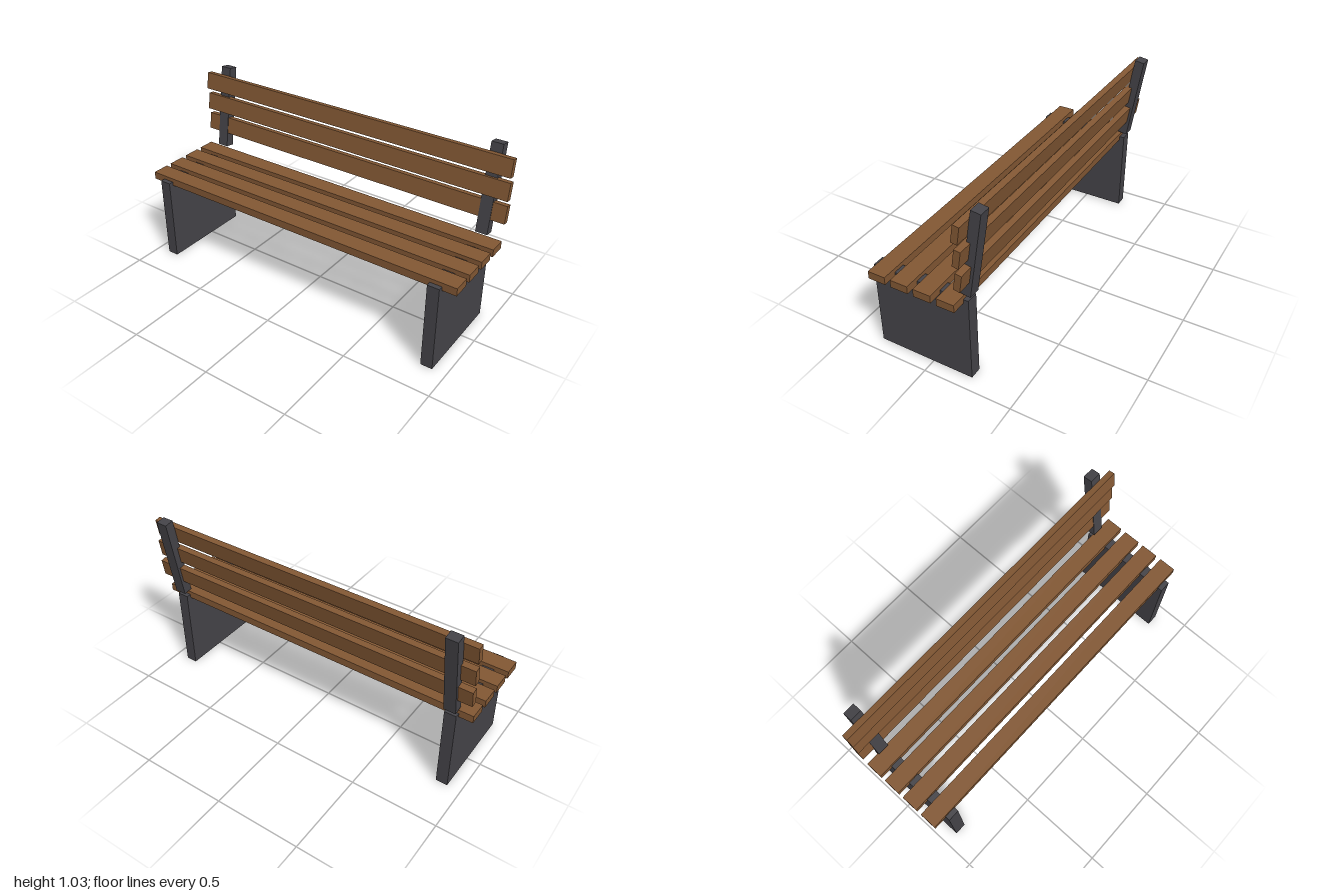
import * as THREE from 'three';

export function createModel() {
  const bench = new THREE.Group();
  bench.name = 'bench';

  const wood = new THREE.MeshStandardMaterial({ color: 0x835834 });
  wood.name = 'brown wood';
  const iron = new THREE.MeshStandardMaterial({ color: 0x454449 });
  iron.name = 'dark iron';

  const lean = -0.15; // backrest tilt in radians

  function addBox(name, material, size, position, tilt = 0) {
    const mesh = new THREE.Mesh(new THREE.BoxGeometry(...size), material);
    mesh.name = name;
    mesh.position.set(...position);
    mesh.rotation.x = tilt;
    bench.add(mesh);
  }

  // Slab legs and leaning back posts, one pair per side
  for (const [side, s] of [['left', 1], ['right', -1]]) {
    addBox(side + 'Leg', iron, [0.067, 0.5, 0.556], [s * 0.888, 0.25, 0.045]);
    addBox(side + 'BackPost', iron, [0.067, 0.5, 0.055], [s * 0.888, 0.779, -0.256], lean);
  }

  // Four seat slats, front to back
  for (let i = 0; i < 4; i++) {
    addBox('seatSlat' + (i + 1), wood, [2, 0.044, 0.1], [0, 0.5, 0.245 - i * 0.1333]);
  }

  // Three backrest slats, stacked vertically and tilted with the posts
  for (let i = 0; i < 3; i++) {
    addBox('backSlat' + (i + 1), wood, [2, 0.1, 0.036], [0, 0.668 + i * 0.1333, -0.233], lean);
  }

  return bench;
}
